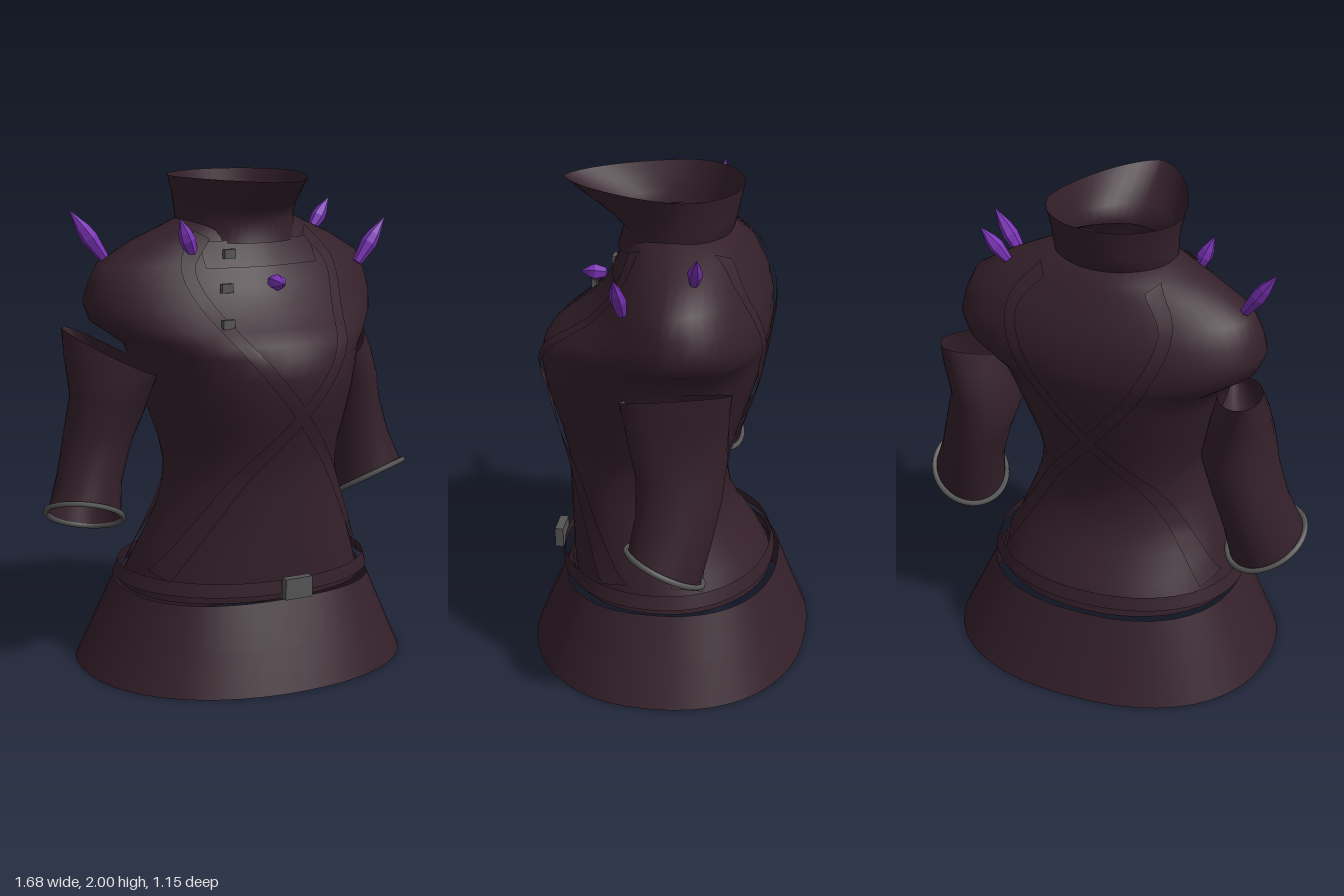
import * as THREE from 'three';

const cloth = new THREE.MeshStandardMaterial({ color: 0x34202a, side: THREE.DoubleSide });
cloth.name = 'dark plum cloth';
const metal = new THREE.MeshStandardMaterial({ color: 0x555555 });
metal.name = 'grey metal';
const crystal = new THREE.MeshStandardMaterial({ color: 0x7a33b6, flatShading: true });
crystal.name = 'purple crystal';

// Surface through rows of points, with seamless normals when the rows are closed
function loft(rows, closed) {
  const n = rows[0].length, pos = [], idx = [];
  rows.forEach(r => r.forEach(p => pos.push(p.x, p.y, p.z)));
  for (let i = 0; i < rows.length - 1; i++) {
    for (let j = 0; j < (closed ? n : n - 1); j++) {
      const k = (j + 1) % n, a = i * n + j, b = i * n + k, c = a + n, d = b + n;
      idx.push(a, c, b, b, c, d);
    }
  }
  const g = new THREE.BufferGeometry();
  g.setAttribute('position', new THREE.Float32BufferAttribute(pos, 3));
  g.setIndex(idx);
  g.computeVertexNormals();
  return g;
}

// Horizontal ring from [y, half width, front z, back z, side z, front roundness, back roundness]
function ring([y, w, zf, zb, zs, nf = 2, nb = 2]) {
  return Array.from({ length: 48 }, (_, i) => {
    const t = (i / 48) * Math.PI * 2, c = Math.cos(t), s = Math.sin(t);
    const n = s > 0 ? nf : nb;
    const x = Math.sign(c) * Math.abs(c) ** (2 / n) * w;
    return new THREE.Vector3(x, y, zs + (s > 0 ? zf - zs : zb - zs) * Math.abs(s) ** (2 / n));
  });
}

// Bodice from hips to neck
const body = [
  [0.36, 0.5, 0.4, -0.41, 0, 2.2, 2.1], [0.45, 0.475, 0.41, -0.365, 0.02, 2.1, 2],
  [0.55, 0.44, 0.415, -0.29, 0.04, 2, 2], [0.65, 0.4, 0.42, -0.245, 0.06, 2, 2],
  [0.75, 0.37, 0.425, -0.23, 0.07, 2, 2], [0.85, 0.355, 0.432, -0.245, 0.07, 2, 2],
  [0.95, 0.37, 0.455, -0.275, 0.06, 2, 2], [1.05, 0.4, 0.487, -0.308, 0.04, 2, 2],
  [1.15, 0.425, 0.518, -0.34, 0.02, 2, 2.1], [1.25, 0.45, 0.532, -0.368, 0, 2, 2.2],
  [1.33, 0.475, 0.52, -0.386, -0.02, 2, 2.3], [1.38, 0.54, 0.49, -0.396, -0.04, 1.9, 2.4],
  [1.43, 0.61, 0.425, -0.4, -0.06, 1.75, 2.4], [1.5, 0.637, 0.34, -0.397, -0.07, 1.7, 2.4],
  [1.58, 0.62, 0.272, -0.38, -0.07, 1.7, 2.3], [1.66, 0.585, 0.222, -0.342, -0.07, 1.65, 2.2],
  [1.74, 0.45, 0.187, -0.295, -0.06, 1.6, 2.1], [1.78, 0.36, 0.18, -0.27, -0.05, 1.6, 2],
  [1.82, 0.27, 0.172, -0.235, -0.04, 1.6, 2], [1.83, 0.25, 0.165, -0.145, -0.04, 1.6, 2],
];

// Point on the bodice surface, pushed out by off; side is 1 for front, -1 for back
function onBody(x, y, side, off) {
  let i = 0;
  while (i < body.length - 2 && body[i + 1][0] < y) i++;
  const t = THREE.MathUtils.clamp((y - body[i][0]) / (body[i + 1][0] - body[i][0]), 0, 1);
  const [, w, zf, zb, zs, nf, nb] = body[i].map((v, k) => THREE.MathUtils.lerp(v, body[i + 1][k], t));
  const u = THREE.MathUtils.clamp(x / (w + off), -1, 1);
  const depth = (side > 0 ? zf - zs : zs - zb) + off, n = side > 0 ? nf : nb;
  return new THREE.Vector3(u * (w + off), y, zs + side * depth * (1 - Math.abs(u) ** n) ** (1 / n));
}

export function createModel() {
  const model = new THREE.Group();
  const add = (name, geo, mat) => {
    const m = new THREE.Mesh(geo, mat);
    m.name = name;
    model.add(m);
    return m;
  };
  const addRings = (name, rows) => add(name, loft(rows.map(ring), true), cloth);

  addRings('bodice', body);

  // Flared skirt, hanging clear of the belts
  addRings('skirt', [
    [0, 0.69, 0.575, -0.58, 0, 2.15, 2.3], [0.17, 0.61, 0.505, -0.515, 0, 2.3, 2.3],
    [0.342, 0.53, 0.43, -0.45, 0, 2.5, 2.3],
  ]);

  // Two belt bands and a buckle
  addRings('lowerBelt', [[0.34, 0.515, 0.41, -0.425, 0, 2.2, 2.1], [0.385, 0.508, 0.413, -0.415, 0, 2.2, 2.1]]);
  addRings('upperBelt', [[0.375, 0.545, 0.455, -0.432, 0, 2.1, 2.1], [0.43, 0.525, 0.45, -0.415, 0, 2.1, 2.1]]);
  add('buckle', new THREE.BoxGeometry(0.12, 0.085, 0.035), metal).position.set(0, 0.402, 0.478);

  // Collar, drawn forward into a spout
  addRings('collar', [
    [1.745, 0.235, 0.212, -0.2, -0.04, 2.2], [1.83, 0.25, 0.188, -0.25, -0.04, 1.8],
    [1.88, 0.252, 0.25, -0.262, -0.05, 1.7], [1.94, 0.26, 0.345, -0.275, -0.05, 1.58],
    [2, 0.275, 0.43, -0.288, -0.05, 1.48],
  ]);

  // Chest flap under the collar
  add('chestFlap', loft([1.655, 1.7, 1.755].map(y =>
    Array.from({ length: 13 }, (_, i) => onBody(-0.25 + i * 0.5 / 12, y, 1, 0.008))), false), cloth);

  // Crossed straps on front and back
  const path = new THREE.CatmullRomCurve3([
    [0.23, 1.78], [0.32, 1.65], [0.24, 1.42], [0, 1.1], [-0.2, 0.85], [-0.33, 0.64], [-0.46, 0.43],
  ].map(p => new THREE.Vector3(p[0], p[1], 0)));
  for (const side of [1, -1]) {
    for (const s of [1, -1]) {
      const rows = Array.from({ length: 41 }, (_, i) => {
        const p = path.getPoint(i / 40), d = path.getTangent(i / 40);
        return [-1, 0, 1].map(k => onBody(s * (p.x - d.y * k * 0.026), p.y + d.x * k * 0.026, side, 0.016));
      });
      add(side > 0 ? 'frontStrap' : 'backStrap', loft(rows, false), cloth);
    }
  }

  // Sleeves: rows of centre, outward half axis and forward half axis
  const sleeve = [
    [[0.545, 1.315, -0.09], [0.115, 0.05, -0.07], [-0.05, -0.055, 0.22]],
    [[0.55, 1.23, -0.095], [0.13, 0.04, -0.04], [-0.03, -0.03, 0.21]],
    [[0.55, 1.1, -0.105], [0.14, 0.035, 0], [0, 0.01, 0.193]],
    [[0.59, 0.96, -0.115], [0.13, 0.04, 0], [0, 0.035, 0.168]],
    [[0.635, 0.8, -0.1], [0.127, 0.045, 0], [0, 0.055, 0.148]],
    [[0.672, 0.655, -0.07], [0.148, 0.045, 0], [0, 0.067, 0.14]],
  ];
  for (const s of [1, -1]) {
    const ellipse = ([c, a, b], grow) => Array.from({ length: 32 }, (_, i) => {
      const t = s * i / 32 * Math.PI * 2, u = Math.cos(t) * grow, v = Math.sin(t) * grow;
      const [x, y, z] = c.map((q, k) => q + a[k] * u + b[k] * v);
      return new THREE.Vector3(s * x, y, z);
    });
    const name = s > 0 ? 'left' : 'right';
    add(name + 'Sleeve', loft(sleeve.map(r => ellipse(r, 1)).reverse(), true), cloth);
    const hem = new THREE.CatmullRomCurve3(ellipse(sleeve[5], 1.06), true);
    add(name + 'Cuff', new THREE.TubeGeometry(hem, 48, 0.012, 6, true), metal);
  }

  // Clasps down the right of the chest
  for (const [x, y] of [[-0.155, 1.71], [-0.2, 1.585], [-0.245, 1.46]]) {
    const clasp = add('clasp', new THREE.BoxGeometry(0.05, 0.036, 0.02), metal);
    clasp.position.copy(onBody(x, y, 1, 0.026));
  }

  // Crystal spikes from base to tip
  const spikes = [
    [[-0.555, 1.685, -0.1], [-0.69, 1.88, -0.13], 0.034],
    [[-0.275, 1.7, 0.125], [-0.34, 1.855, 0.14], 0.033],
    [[0.42, 1.735, -0.145], [0.525, 1.87, -0.17], 0.03],
    [[0.487, 1.627, 0.12], [0.613, 1.81, 0.13], 0.033],
    [[0, 1.6, 0.265], [0, 1.6, 0.372], 0.034],
  ];
  for (const [from, to, r] of spikes) {
    const a = new THREE.Vector3(...from), dir = new THREE.Vector3(...to).sub(a), len = dir.length();
    const profile = [[0, 0], [r * 0.6, 0], [r, len * 0.42], [r * 0.8, len * 0.62], [0, len]];
    const spike = add('spike', new THREE.LatheGeometry(profile.map(p => new THREE.Vector2(...p)), 6), crystal);
    spike.position.copy(a);
    spike.quaternion.setFromUnitVectors(new THREE.Vector3(0, 1, 0), dir.normalize());
  }

  return model;
}
